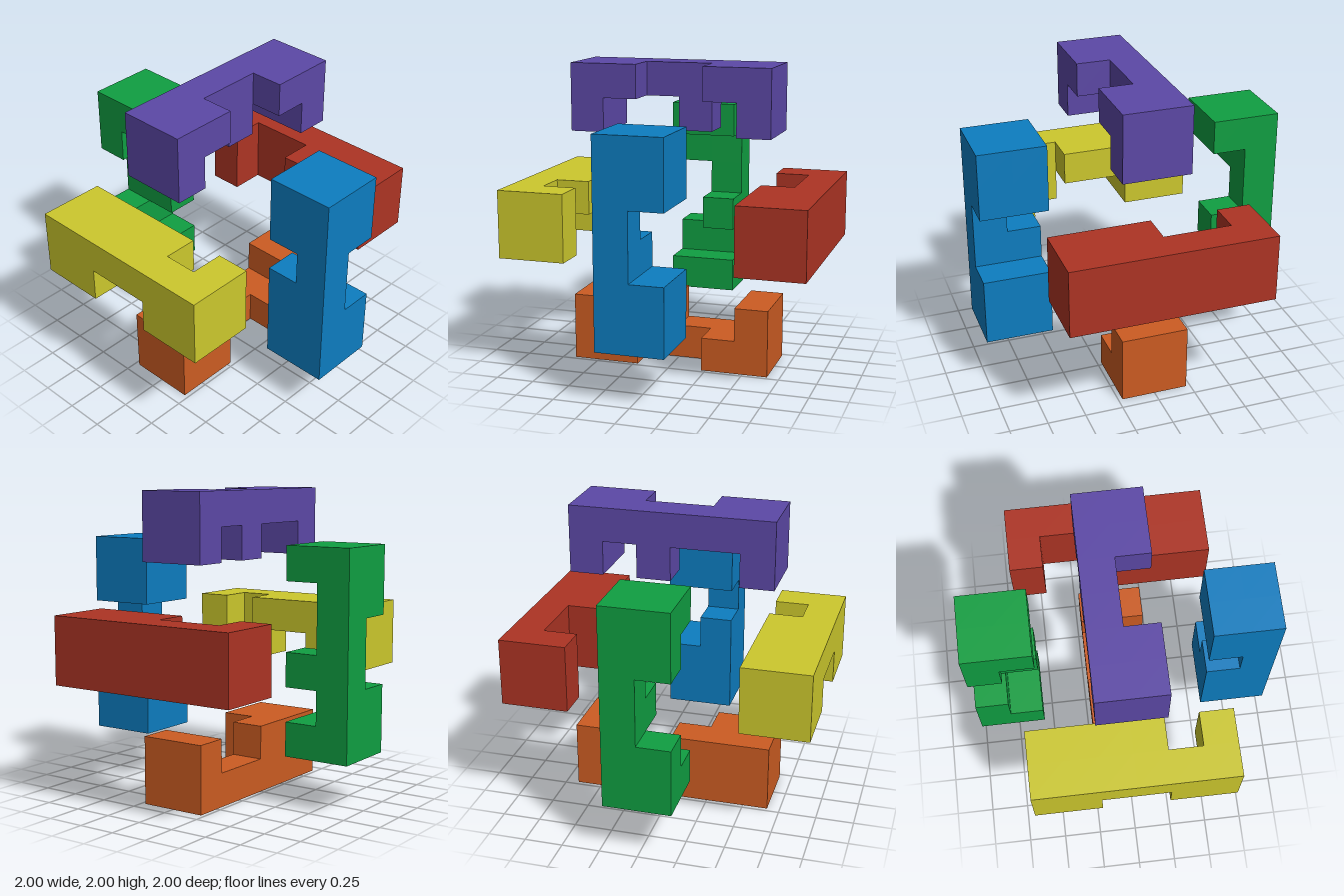
import * as THREE from 'three';
import { mergeGeometries } from 'three/addons/utils/BufferGeometryUtils.js';

const U = 2 / 9; // edge of one cell; each bar is 2 x 2 x 6 cells

const paint = (name, color) => {
  const m = new THREE.MeshStandardMaterial({ color });
  m.name = name;
  return m;
};

// Bars of an exploded interlocking puzzle.
// axis: long direction (0 x, 1 y, 2 z); at: minimum corner in cells;
// rows: cells along the axis for the four strands, ordered
// (low, low), (high, low), (low, high), (high, high) over the other two axes.
const BARS = [
  { name: 'topBar', paint: paint('purple', 0x5c48a6), axis: 2, at: [3.5, 7, 1.5],
    rows: ['101001', '100001', '111111', '110011'] },
  { name: 'bottomBar', paint: paint('orange', 0xcc5c22), axis: 2, at: [3.5, 0, 1.5],
    rows: ['111111', '110011', '100111', '100011'] },
  { name: 'rightBar', paint: paint('green', 0x109f42), axis: 1, at: [0, 1.5, 3.5],
    rows: ['111111', '101001', '110011', '100001'] },
  { name: 'leftBar', paint: paint('blue', 0x0d7dc0), axis: 1, at: [7, 1.5, 3.5],
    rows: ['110011', '110011', '111011', '111111'] },
  { name: 'frontBar', paint: paint('yellow', 0xccc82d), axis: 0, at: [1.5, 3.5, 7],
    rows: ['110001', '111101', '110011', '111111'] },
  { name: 'backBar', paint: paint('red', 0xad3424), axis: 0, at: [1.5, 3.5, 0],
    rows: ['111111', '111111', '100111', '100111'] },
];

// One square face looking along the given direction
function cellFace(centre, dir) {
  const n = new THREE.Vector3(...dir);
  const turn = new THREE.Quaternion().setFromUnitVectors(new THREE.Vector3(0, 0, 1), n);
  return new THREE.PlaneGeometry(U, U)
    .applyQuaternion(turn)
    .translate(...centre.map((c, i) => (c + dir[i] / 2) * U));
}

// Skin of a notched bar: only the faces between a filled and an empty cell
function barGeometry({ axis, at, rows }) {
  const [a, b] = [0, 1, 2].filter((i) => i !== axis);
  const filled = (c) =>
    c[a] >= 0 && c[a] < 2 && c[b] >= 0 && c[b] < 2 && rows[c[a] + 2 * c[b]][c[axis]] === '1';
  const faces = [];
  for (let strand = 0; strand < 4; strand++) {
    for (let k = 0; k < 6; k++) {
      const cell = [0, 0, 0];
      cell[a] = strand % 2;
      cell[b] = strand >> 1;
      cell[axis] = k;
      if (!filled(cell)) continue;
      for (let i = 0; i < 3; i++) {
        for (const s of [-1, 1]) {
          const dir = [0, 0, 0];
          dir[i] = s;
          if (filled(cell.map((c, j) => c + dir[j]))) continue;
          faces.push(cellFace(cell.map((c, j) => c + at[j] + 0.5), dir));
        }
      }
    }
  }
  return mergeGeometries(faces).translate(-1, 0, -1);
}

export function createModel() {
  const model = new THREE.Group();
  model.name = 'explodedPuzzle';
  for (const bar of BARS) {
    const mesh = new THREE.Mesh(barGeometry(bar), bar.paint);
    mesh.name = bar.name;
    model.add(mesh);
  }
  return model;
}
